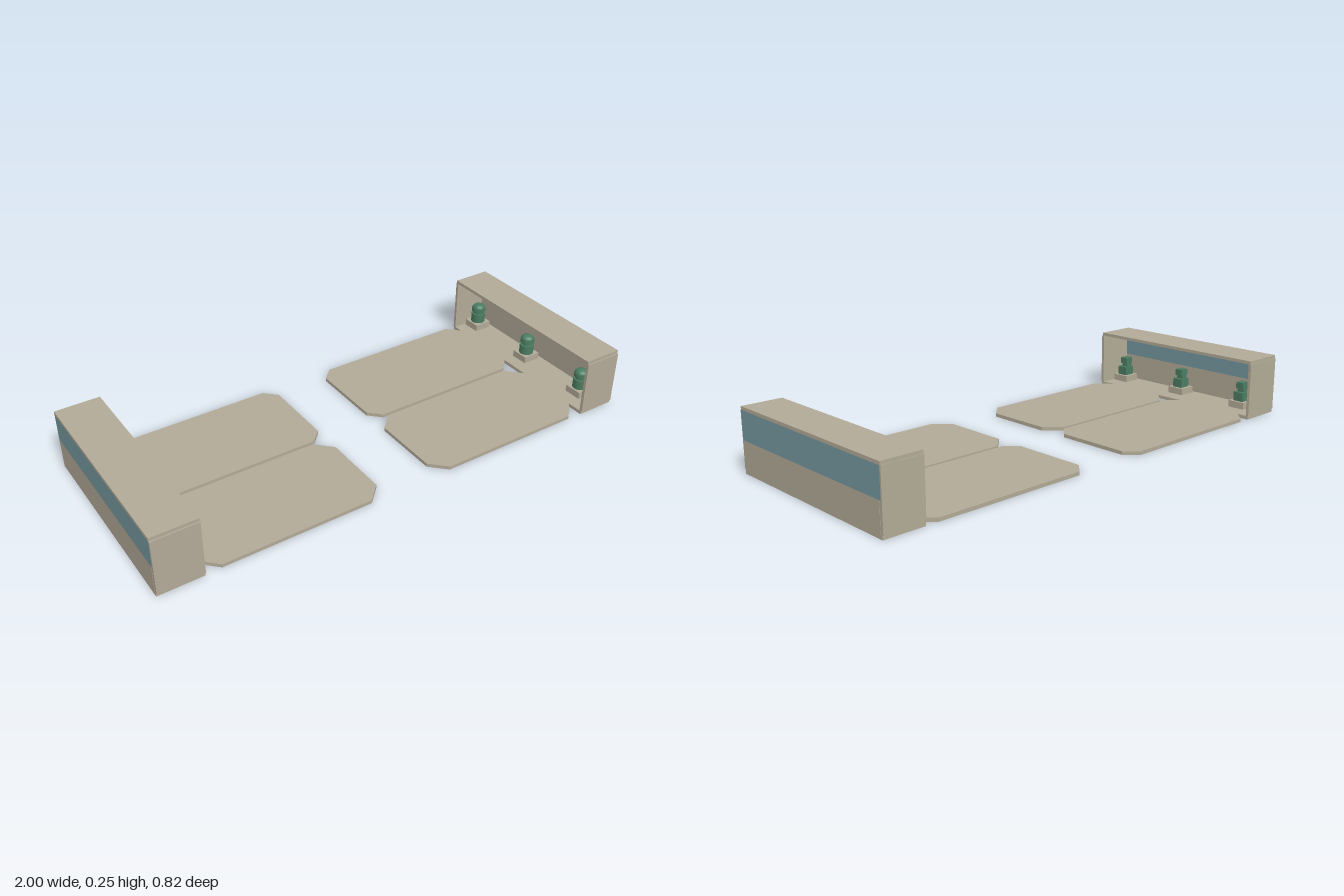
import * as THREE from 'three';

const tan = new THREE.MeshStandardMaterial({ color: 0xb2aa97 });
tan.name = 'tan concrete';
const blue = new THREE.MeshStandardMaterial({ color: 0x76989f });
blue.name = 'blue glass';
const green = new THREE.MeshStandardMaterial({ color: 0x4a7c62 });
green.name = 'green machine';

const T = 0.014; // slab thickness

function add(parent, name, geometry, material, x, y, z) {
  const mesh = new THREE.Mesh(geometry, material);
  mesh.name = name;
  mesh.position.set(x, y, z);
  parent.add(mesh);
  return mesh;
}

// Box given by its minimum and maximum on each axis
function block(parent, name, material, x0, x1, y0, y1, z0, z1) {
  return add(parent, name, new THREE.BoxGeometry(Math.abs(x1 - x0), y1 - y0, z1 - z0), material,
    (x0 + x1) / 2, (y0 + y1) / 2, (z0 + z1) / 2);
}

// Flat platform with four cut corners
function platform(parent, name, x0, x1, z0, z1, c) {
  const points = [
    [x0 + c, z0], [x1 - c, z0], [x1, z0 + c], [x1, z1 - c],
    [x1 - c, z1], [x0 + c, z1], [x0, z1 - c], [x0, z0 + c],
  ].map(([x, z]) => new THREE.Vector2(x, -z));
  const geometry = new THREE.ExtrudeGeometry(new THREE.Shape(points), { depth: T, bevelEnabled: false });
  geometry.rotateX(-Math.PI / 2);
  add(parent, name, geometry, tan, 0, 0, 0);
}

// Hall open towards the centre, with a glazed upper rear wall
function hall(side, inner) {
  const group = new THREE.Group();
  group.name = side < 0 ? 'rightHall' : 'leftHall';
  const outer = side, wall = side * (1 - T);
  block(group, 'floor', tan, inner, outer, 0, T, -0.407, 0.405);
  block(group, 'roof', tan, inner, outer, 0.232, 0.245, -0.407, 0.405);
  block(group, 'lowerWall', tan, wall, outer, T, 0.123, -0.398, 0.398);
  block(group, 'window', blue, wall, outer, 0.123, 0.232, -0.405, 0.405);
  const end = outer - side * 0.001;
  block(group, 'frontEndWall', tan, inner, end, T, 0.232, 0.398, 0.41);
  block(group, 'backEndWall', tan, inner, end, T, 0.232, -0.41, -0.398);
  return group;
}

// Small machine on a square pedestal
function machine(round) {
  const group = new THREE.Group();
  group.name = round ? 'domedMachine' : 'boxyMachine';
  add(group, 'pedestal', new THREE.BoxGeometry(0.075, 0.028, 0.075), tan, 0, 0.014, 0);
  if (round) {
    add(group, 'body', new THREE.CylinderGeometry(0.03, 0.03, 0.04, 16), green, 0, 0.048, 0);
    add(group, 'neck', new THREE.CylinderGeometry(0.022, 0.022, 0.014, 16), green, 0, 0.075, 0);
    add(group, 'collar', new THREE.CylinderGeometry(0.03, 0.03, 0.014, 16), green, 0, 0.088, 0);
    const dome = new THREE.SphereGeometry(0.028, 16, 6, 0, Math.PI * 2, 0, Math.PI / 2);
    add(group, 'dome', dome, green, 0, 0.095, 0).scale.y = 0.6;
  } else {
    add(group, 'body', new THREE.BoxGeometry(0.05, 0.038, 0.046), green, 0, 0.047, 0);
    add(group, 'neck', new THREE.BoxGeometry(0.03, 0.02, 0.03), green, -0.006, 0.074, 0);
    add(group, 'head', new THREE.BoxGeometry(0.04, 0.026, 0.034), green, -0.002, 0.094, 0);
  }
  return group;
}

export function createModel() {
  const model = new THREE.Group();
  model.name = 'facingHalls';

  for (const side of [-1, 1]) {
    model.add(hall(side, side < 0 ? -0.825 : 0.84));
    // Row of three machines in each hall
    for (const i of [-1, 0, 1]) {
      const m = machine(side > 0);
      m.position.set(side * 0.932, T, -side * (0.028 + i * 0.326));
      model.add(m);
    }
  }

  // Two platforms reach in from each hall
  platform(model, 'rightBackPlatform', -0.825, -0.105, -0.407, -0.01, 0.048);
  platform(model, 'rightFrontPlatform', -0.825, -0.105, 0.005, 0.402, 0.062);
  platform(model, 'leftBackPlatform', 0.122, 0.84, -0.407, -0.01, 0.048);
  platform(model, 'leftFrontPlatform', 0.122, 0.84, 0.005, 0.402, 0.062);
  return model;
}
